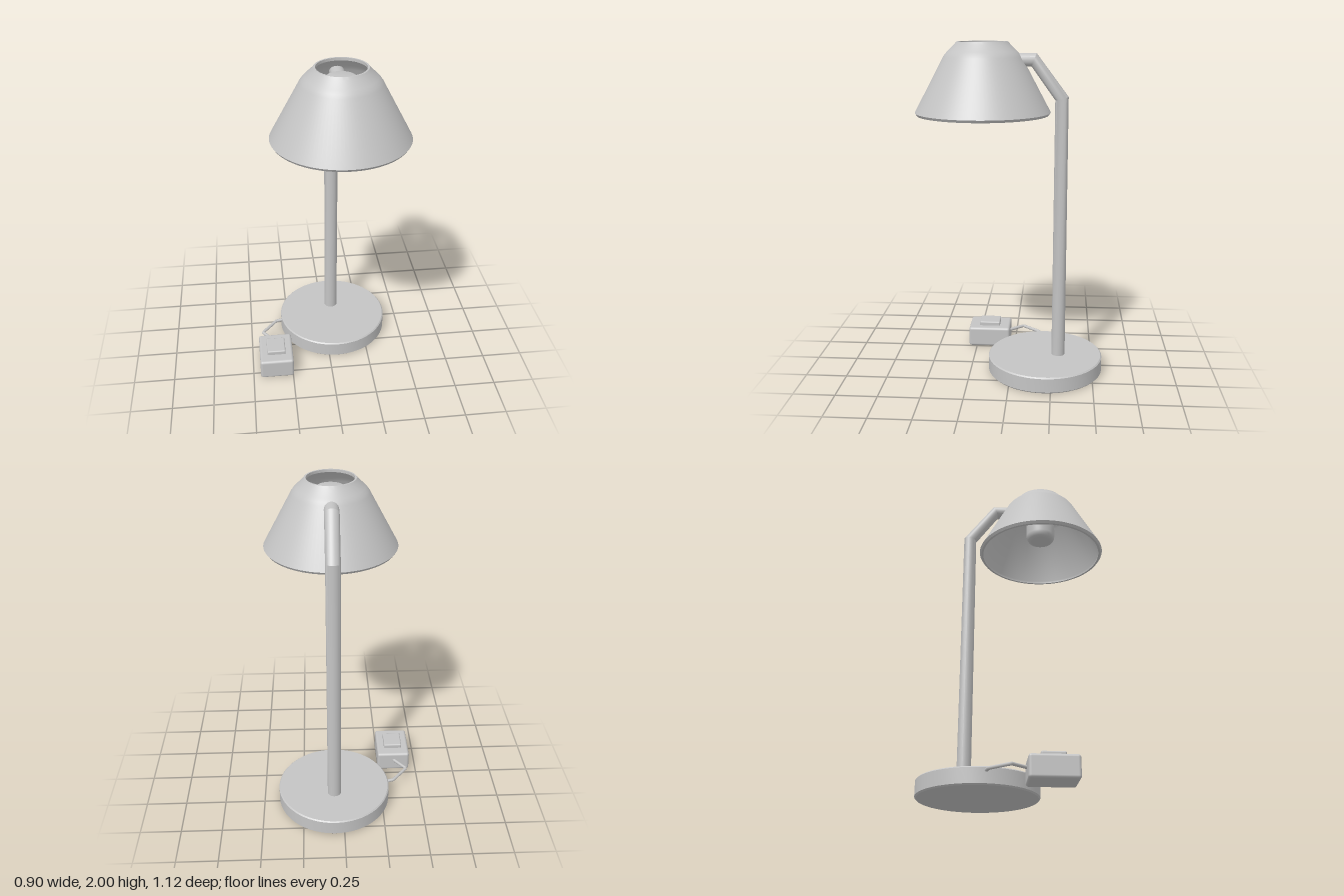
import * as THREE from 'three';
import { toCreasedNormals } from 'three/addons/utils/BufferGeometryUtils.js';
import { RoundedBoxGeometry } from 'three/addons/geometries/RoundedBoxGeometry.js';

const X = 0.055; // the lamp axis sits slightly left of the centre

export function createModel() {
  const lamp = new THREE.Group();
  lamp.name = 'deskLamp';
  const grey = new THREE.MeshStandardMaterial({ color: 0xc4c4c4 });
  grey.name = 'lightGrey';

  const add = (name, geometry, x = 0, y = 0, z = 0) => {
    const mesh = new THREE.Mesh(geometry, grey);
    mesh.name = name;
    mesh.position.set(x, y, z);
    lamp.add(mesh);
  };
  // Turned part from [radius, height] pairs, outside going up
  const turned = (profile, sides = 64, crease = 0.5) => toCreasedNormals(
    new THREE.LatheGeometry(profile.map(([r, y]) => new THREE.Vector2(r, y)), sides), crease);

  // Round foot with a small bevel
  add('base', turned([[0, 0], [0.342, 0], [0.35, 0.008], [0.35, 0.093], [0.343, 0.1], [0, 0.1]]), X, 0, -0.21);

  // Post and arm: one pipe with mitred bends, given by its back and front edges [z, y]
  const bends = [
    [[-0.332, 0.09], [-0.25, 0.09]],
    [[-0.33, 1.69], [-0.253, 1.67]],
    [[-0.145, 1.936], [-0.116, 1.86]],
    [[0.165, 1.936], [0.165, 1.86]],
  ];
  const sides = 24;
  const position = [];
  const index = [];
  bends.forEach(([[zb, yb], [zf, yf]], i) => {
    for (let j = 0; j < sides; j++) {
      const a = (j / sides) * Math.PI * 2;
      const t = (1 - Math.cos(a)) / 2;
      position.push(0.042 * Math.sin(a), yb + (yf - yb) * t, zb + (zf - zb) * t);
      if (i === 0) continue;
      const k = (j + 1) % sides;
      const p = (i - 1) * sides;
      const q = i * sides;
      index.push(p + j, q + j, p + k, p + k, q + j, q + k);
    }
  });
  const pipe = new THREE.BufferGeometry();
  pipe.setAttribute('position', new THREE.Float32BufferAttribute(position, 3));
  pipe.setIndex(index);
  // Wind the faces so that they look outward
  for (let i = 0; i < index.length; i += 3) {
    const [a, b, c] = [0, 1, 2].map((n) => new THREE.Vector3().fromBufferAttribute(pipe.attributes.position, index[i + n]));
    const normal = b.clone().sub(a).cross(c.clone().sub(a));
    const ring = Math.floor(index[i] / sides);
    const ringB = Math.floor(index[i + 1] / sides);
    const centre = (r) => new THREE.Vector3(0, (bends[r][0][1] + bends[r][1][1]) / 2, (bends[r][0][0] + bends[r][1][0]) / 2);
    const out = a.clone().sub(centre(ring)).add(b.clone().sub(centre(ringB)));
    if (normal.dot(out) < 0) [index[i + 1], index[i + 2]] = [index[i + 2], index[i + 1]];
  }
  pipe.setIndex(index);
  add('postAndArm', toCreasedNormals(pipe, 0.5), X);

  // Hollow shade, open at the top and bottom
  add('shade', turned([
    [0.37, 1.585], [0.383, 1.585], [0.393, 1.6], [0.225, 1.915], [0.213, 1.932], [0.198, 1.948],
    [0.16, 1.984], [0.148, 2], [0.138, 2], [0.138, 1.984], [0.182, 1.942], [0.197, 1.925],
    [0.208, 1.908], [0.37, 1.6], [0.37, 1.585],
  ], 96), X, 0, 0.165);

  // Bulb with rounded ends
  add('bulb', turned([
    [0, 1.69], [0.06, 1.69], [0.078, 1.697], [0.088, 1.712], [0.091, 1.73],
    [0.091, 1.925], [0.088, 1.937], [0.081, 1.946], [0.07, 1.95], [0, 1.95],
  ], 48, 0.7), X, 0, 0.165);

  // Switch box and its button
  add('switchBox', new RoundedBoxGeometry(0.21, 0.128, 0.27, 3, 0.016), -0.35, 0.065, 0.167);
  add('switchButton', new RoundedBoxGeometry(0.116, 0.05, 0.134, 3, 0.008), -0.35, 0.13, 0.167);

  // Cord in straight runs from the base to the switch box
  const cord = new THREE.CurvePath();
  const stops = [[-0.25, -0.185], [-0.332, -0.163], [-0.426, -0.052], [-0.33, 0.065]]
    .map(([x, z]) => new THREE.Vector3(x, 0.078, z));
  for (let i = 1; i < stops.length; i++) cord.add(new THREE.LineCurve3(stops[i - 1], stops[i]));
  add('cord', new THREE.TubeGeometry(cord, 48, 0.01, 10));

  return lamp;
}
